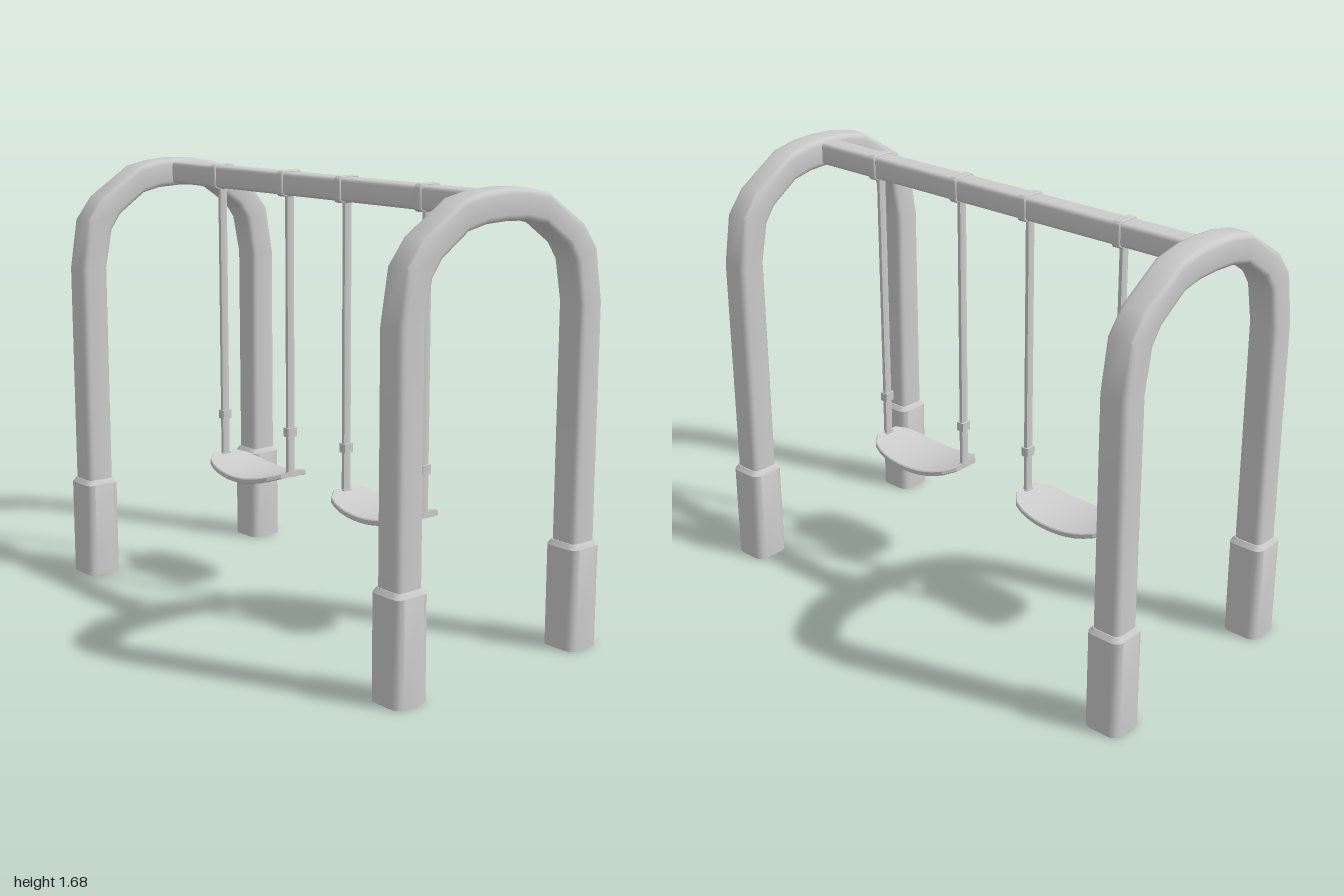
import * as THREE from 'three';
import { toCreasedNormals } from 'three/addons/utils/BufferGeometryUtils.js';

const material = new THREE.MeshStandardMaterial({ color: 0xcccccc });

// Rounded rectangle as counter-clockwise [u, v] points
function roundedRect(hu, hv, r, segs = 3) {
  const pts = [];
  [[1, 1], [-1, 1], [-1, -1], [1, -1]].forEach(([su, sv], q) => {
    for (let i = 0; i <= segs; i++) {
      const a = (q + i / segs) * Math.PI / 2;
      pts.push([su * (hu - r) + r * Math.cos(a), sv * (hv - r) + r * Math.sin(a)]);
    }
  });
  return pts;
}

// Skin a list of rings (arrays of [x, y, z]) and close both ends
function loft(rings, crease = 0.6) {
  const n = rings[0].length, last = (rings.length - 1) * n, index = [];
  for (let i = 0; i < rings.length - 1; i++) {
    for (let j = 0; j < n; j++) {
      const k = (j + 1) % n, a = i * n + j, b = i * n + k;
      index.push(a, b, b + n, a, b + n, a + n);
    }
  }
  for (let j = 1; j < n - 1; j++) {
    index.push(0, j + 1, j, last, last + j, last + j + 1);
  }
  const geo = new THREE.BufferGeometry();
  geo.setAttribute('position', new THREE.Float32BufferAttribute(rings.flat(2), 3));
  geo.setIndex(index);
  return toCreasedNormals(geo, crease);
}

// Upright rounded post from levels of [y, halfX, halfZ, radius]
function post(levels, segs) {
  return loft(levels.map(([y, hx, hz, r]) =>
    roundedRect(hz, hx, r, segs).map(([u, v]) => [v, y, u])));
}

function add(parent, name, geometry, x = 0, y = 0, z = 0) {
  const mesh = new THREE.Mesh(geometry, material);
  mesh.name = name;
  mesh.position.set(x, y, z);
  parent.add(mesh);
  return mesh;
}

// Arch swept between an outer and an inner [z, y] outline
function archGeometry() {
  const half = [
    [0.48, 0.36, 0.367, 0.36], [0.48, 1.265, 0.367, 1.265], [0.448, 1.457, 0.337, 1.415],
    [0.378, 1.545, 0.295, 1.475], [0.2, 1.66, 0.18, 1.553], [0.1, 1.68, 0.095, 1.571],
    [0, 1.685, 0, 1.575],
  ];
  const mirrored = half.slice(0, -1).reverse().map(([a, b, c, d]) => [-a, b, -c, d]);
  const section = roundedRect(1, 0.057, 0.022).map(([, v]) => v);
  const across = roundedRect(0.057, 0.057, 0.022).map(([u]) => u / 0.057);
  return loft([...half, ...mirrored].map(([zo, yo, zi, yi]) => across.map((u, j) => {
    const t = (u + 1) / 2;
    return [section[j], yi + (yo - yi) * t, zi + (zo - zi) * t];
  })));
}

// Sagging seat, wide in the middle and narrow at the ends
function seatGeometry() {
  const rings = [], steps = 12, halfLength = 0.222;
  for (let i = 0; i <= steps; i++) {
    const s = -1 + 2 * i / steps, s2 = s * s;
    const halfWidth = 0.055 + 0.07 * Math.sqrt(1 - Math.abs(s) ** 2.6);
    rings.push(roundedRect(0.011, halfWidth, 0.004, 1)
      .map(([u, v]) => [s * halfLength, 0.449 + 0.042 * s2 + u, v]));
  }
  return loft(rings, 0.5);
}

export function createModel() {
  const model = new THREE.Group();
  model.name = 'swingSet';

  // End arches with thick sleeves on the feet
  const arch = archGeometry();
  const sleeve = post([
    [0, 0.072, 0.073, 0.03], [0.38, 0.072, 0.073, 0.03], [0.398, 0.06, 0.06, 0.025],
  ]);
  for (const side of [-1, 1]) {
    const frame = new THREE.Group();
    frame.name = side > 0 ? 'leftFrame' : 'rightFrame';
    frame.position.x = side * 0.927;
    model.add(frame);
    add(frame, 'arch', arch);
    for (const z of [-0.423, 0.423]) add(frame, 'footSleeve', sleeve, 0, 0, z);
  }

  // Top beam
  const beam = post([[-0.9, 0.043, 0.045, 0.015], [0.9, 0.043, 0.045, 0.015]]);
  add(model, 'crossbar', beam.rotateZ(Math.PI / 2), 0, 1.628, 0);

  // Swings: clamps, straps, buckles and seats
  const clamp = post([
    [-0.017, 0.046, 0.048, 0.015], [-0.014, 0.049, 0.051, 0.016],
    [0.014, 0.049, 0.051, 0.016], [0.017, 0.046, 0.048, 0.015],
  ]).rotateZ(Math.PI / 2);
  const strap = post([[0.49, 0.008, 0.017, 0.004], [1.6, 0.008, 0.017, 0.004]], 2);
  const buckle = post([[0.643, 0.017, 0.022, 0.005], [0.678, 0.017, 0.022, 0.005]], 2);
  const hook = post([[0.482, 0.011, 0.021, 0.005], [0.5, 0.011, 0.021, 0.005]], 2);
  const seat = seatGeometry();
  for (const side of [-1, 1]) {
    const swing = new THREE.Group();
    swing.name = side > 0 ? 'leftSwing' : 'rightSwing';
    swing.position.x = side * 0.379;
    model.add(swing);
    add(swing, 'seat', seat);
    for (const x of [-0.212, 0.212]) {
      add(swing, 'clamp', clamp, x, 1.628, 0);
      add(swing, 'strap', strap, x);
      add(swing, 'buckle', buckle, x);
      add(swing, 'seatHook', hook, x);
    }
  }
  return model;
}
